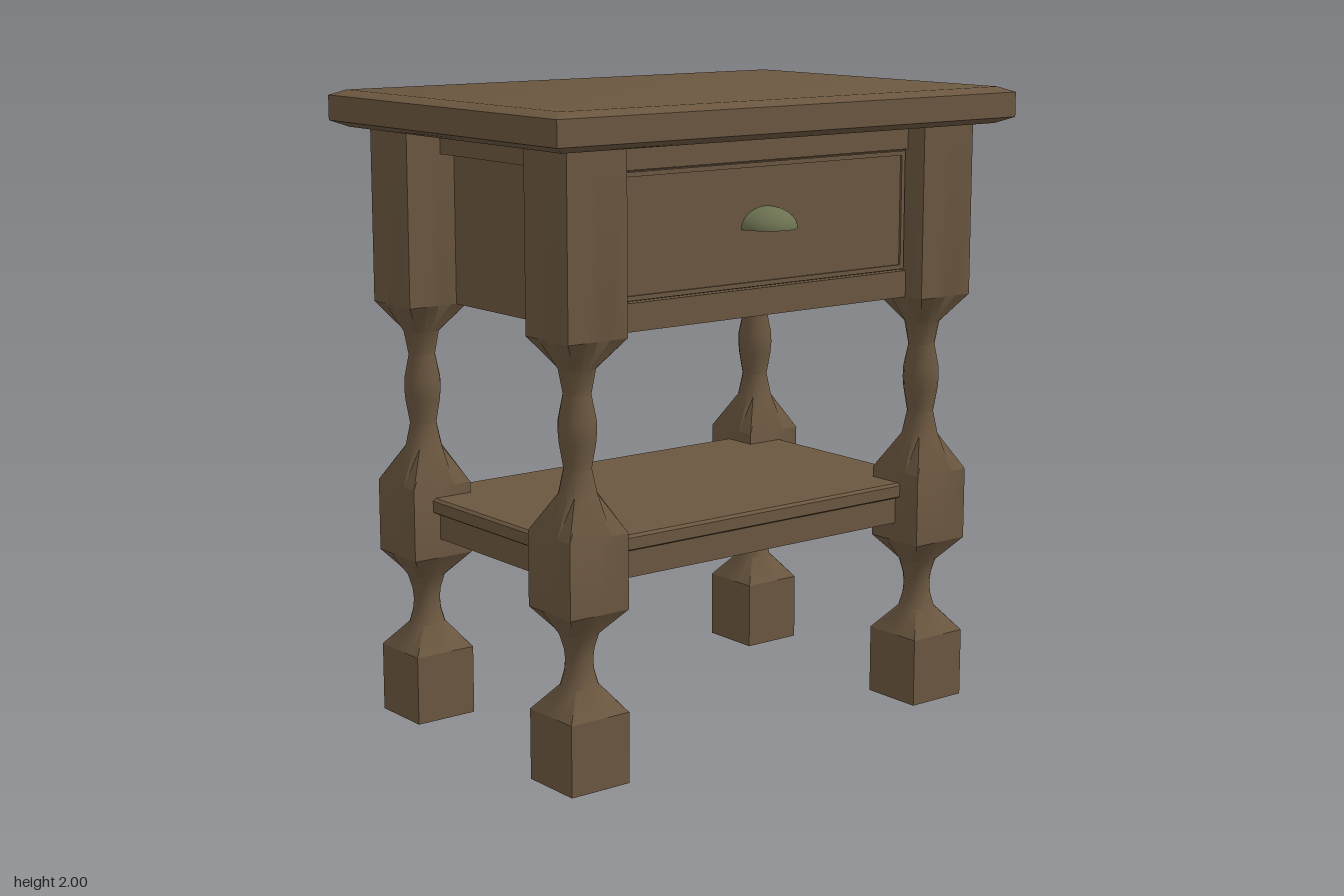
import * as THREE from 'three';
import { toCreasedNormals } from 'three/addons/utils/BufferGeometryUtils.js';

const wood = new THREE.MeshStandardMaterial({ color: 0x6b5740 });
const brass = new THREE.MeshStandardMaterial({ color: 0x6b7050, side: THREE.DoubleSide });

// Centre of the leg layout, and leg spacing from it
const CX = -0.007, CZ = 0.007, LX = 0.685, LZ = 0.4175, HALF = 0.105;

// Skin a stack of closed rings (bottom to top, each counter-clockwise in x/-z) and cap both ends
function loft(rings) {
  const n = rings[0].length, pos = [], idx = [];
  rings.forEach(r => r.forEach(p => pos.push(...p)));
  for (let i = 0; i < rings.length - 1; i++) {
    for (let j = 0; j < n; j++) {
      const a = i * n + j, b = i * n + (j + 1) % n;
      idx.push(a, b, b + n, a, b + n, a + n);
    }
  }
  const last = (rings.length - 1) * n;
  for (let j = 1; j < n - 1; j++) {
    idx.push(0, j + 1, j, last, last + j, last + j + 1);
  }
  const g = new THREE.BufferGeometry();
  g.setAttribute('position', new THREE.Float32BufferAttribute(pos, 3));
  g.setIndex(idx);
  return toCreasedNormals(g, 0.5);
}

const rect = (y, hx, hz) => [[-hx, y, hz], [hx, y, hz], [hx, y, -hz], [-hx, y, -hz]];

// Leg ring: a square or a circle with matching points
function legRing(y, r, square) {
  const n = 16, ring = [];
  for (let i = 0; i < n; i++) {
    const a = Math.PI / 4 + i * Math.PI * 2 / n;
    const c = Math.cos(a), s = Math.sin(a);
    const k = square ? r / Math.max(Math.abs(c), Math.abs(s)) : r;
    ring.push([c * k, y, -s * k]);
  }
  return ring;
}

export function createModel() {
  const model = new THREE.Group();

  const add = (name, geometry, material = wood, x = 0, y = 0, z = 0) => {
    const mesh = new THREE.Mesh(geometry, material);
    mesh.name = name;
    mesh.position.set(x, y, z);
    model.add(mesh);
    return mesh;
  };
  // Box given by its x, y and z ranges
  const box = (name, x0, x1, y0, y1, z0, z1) =>
    add(name, new THREE.BoxGeometry(x1 - x0, y1 - y0, z1 - z0), wood,
      (x0 + x1) / 2, (y0 + y1) / 2, (z0 + z1) / 2);

  // Table top with bevelled edges
  add('tableTop', loft([
    rect(1.885, 0.84, 0.568), rect(1.905, 0.887, 0.612),
    rect(1.983, 0.887, 0.612), rect(2, 0.845, 0.57),
  ]));

  // Turned legs: [height, half width, square?]
  const legProfile = [
    [0, HALF, 1], [0.22, HALF, 1], [0.3, 0.058, 0], [0.345, 0.045, 0], [0.38, 0.042, 0],
    [0.415, 0.046, 0], [0.46, 0.06, 0], [0.535, HALF, 1],
    [0.765, HALF, 1], [0.88, 0.058, 0], [0.955, 0.042, 0], [1.03, 0.055, 0],
    [1.065, 0.058, 0], [1.1, 0.057, 0], [1.175, 0.042, 0], [1.25, 0.056, 0],
    [1.34, HALF, 1], [1.89, HALF, 1],
  ];
  const legGeometry = loft(legProfile.map(p => legRing(...p)));
  for (const sx of [-1, 1]) {
    for (const sz of [-1, 1]) {
      const name = (sz > 0 ? 'front' : 'back') + (sx > 0 ? 'Left' : 'Right') + 'Leg';
      add(name, legGeometry, wood, CX + sx * LX, 0, CZ + sz * LZ);
    }
  }

  // Inner faces of the legs
  const x0 = CX - LX + HALF, x1 = CX + LX - HALF;
  const z0 = CZ - LZ + HALF, z1 = CZ + LZ - HALF;

  // Back and side panels, with a rail along the top of each side
  box('backPanel', x0, x1, 1.34, 1.89, -0.43, -0.39);
  for (const s of [-1, 1]) {
    const side = s > 0 ? 'left' : 'right';
    const px = CX + s * 0.6, rx = CX + s * 0.63;
    box(side + 'Panel', px - 0.02, px + 0.02, 1.34, 1.89, z0, z1);
    box(side + 'TopRail', rx - 0.04, rx + 0.04, 1.81, 1.89, z0, z1);
  }
  box('caseBottom', x0, x1, 1.42, 1.44, -0.4, 0.42);

  // Front rails around the drawer
  box('upperFrontRail', x0, x1, 1.81, 1.89, 0.39, 0.455);
  box('lowerFrontRail', x0, x1, 1.34, 1.425, 0.39, 0.455);

  // Drawer front with a thin raised bead around its edge
  box('drawerFront', x0 + 0.004, x1 - 0.004, 1.428, 1.807, 0.4, 0.443);
  const hw = (x1 - x0) / 2 - 0.006, hh = 0.187, b = 0.014;
  const bead = new THREE.Shape([
    new THREE.Vector2(-hw, -hh), new THREE.Vector2(hw, -hh),
    new THREE.Vector2(hw, hh), new THREE.Vector2(-hw, hh),
  ]);
  bead.holes.push(new THREE.Path([
    new THREE.Vector2(-hw + b, -hh + b), new THREE.Vector2(-hw + b, hh - b),
    new THREE.Vector2(hw - b, hh - b), new THREE.Vector2(hw - b, -hh + b),
  ]));
  add('drawerBead', new THREE.ExtrudeGeometry(bead, { depth: 0.008, bevelEnabled: false }),
    wood, CX, 1.6175, 0.442);

  // Cup pull: a quarter ellipsoid, open below
  const pull = add('drawerPull',
    new THREE.SphereGeometry(1, 24, 10, 0, Math.PI, 0, Math.PI / 2), brass, 0, 1.605, 0.442);
  pull.scale.set(0.096, 0.066, 0.1);

  // Lower shelf with a softened edge, let into the legs
  add('shelf', loft([
    rect(0.68, 0.71, 0.43), rect(0.686, 0.72, 0.44),
    rect(0.722, 0.72, 0.44), rect(0.73, 0.71, 0.43),
  ]), wood, CX, 0, CZ);

  // Stretchers under the shelf
  for (const s of [-1, 1]) {
    const sx = CX + s * 0.665, sz = CZ + s * 0.39;
    box(s > 0 ? 'leftStretcher' : 'rightStretcher', sx - 0.03, sx + 0.03, 0.595, 0.682, z0, z1);
    box(s > 0 ? 'frontStretcher' : 'backStretcher', x0, x1, 0.595, 0.682, sz - 0.03, sz + 0.03);
  }

  return model;
}
